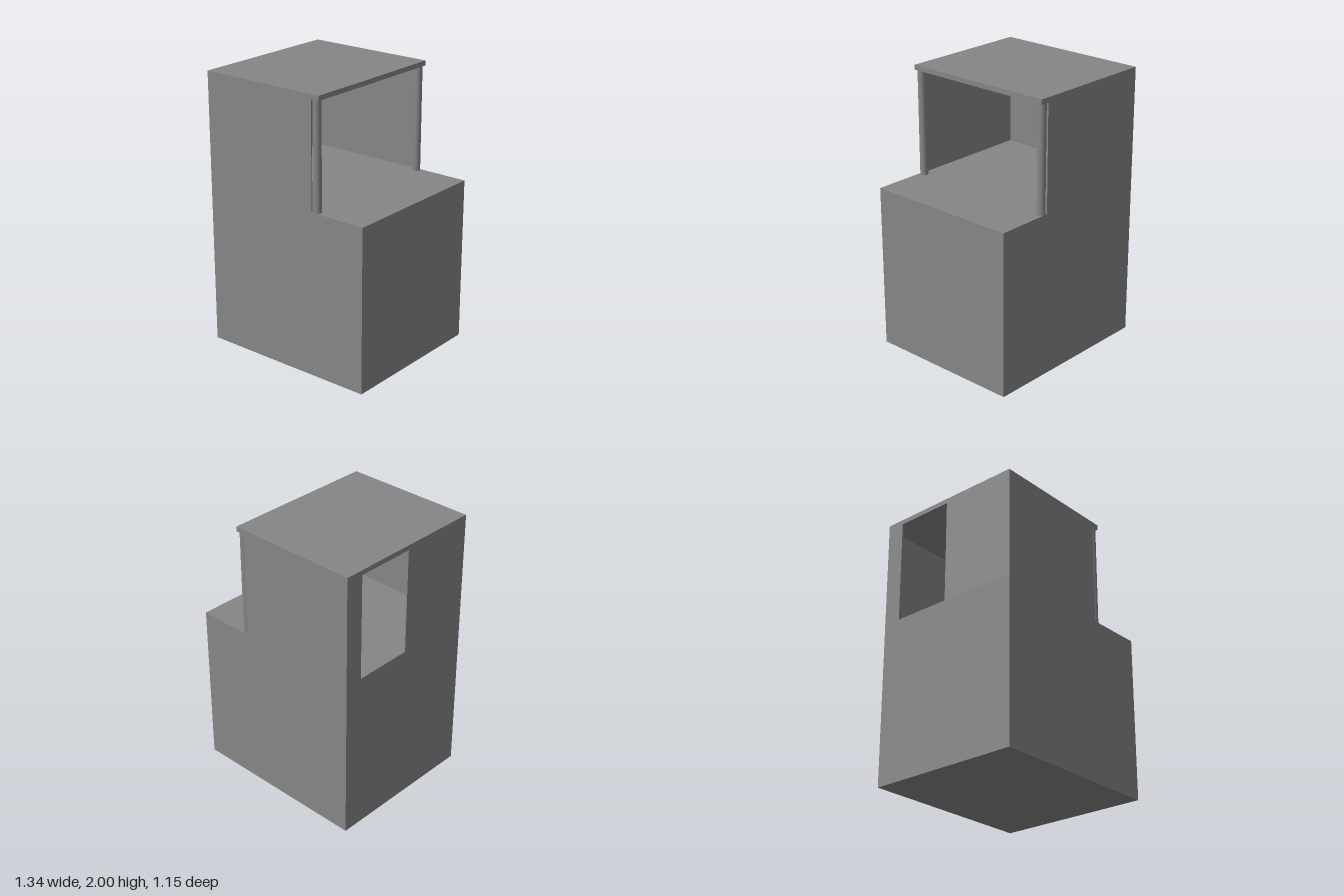
import * as THREE from 'three';

export function createModel() {
  const model = new THREE.Group();
  const material = new THREE.MeshStandardMaterial({ color: 0x868686 });

  const add = (name, geometry, x, y, z) => {
    const mesh = new THREE.Mesh(geometry, material);
    mesh.name = name;
    mesh.position.set(x, y, z);
    model.add(mesh);
  };
  // Box given by its lower and upper limits on each axis
  const box = (name, [x0, x1], [y0, y1], [z0, z1]) => add(name,
    new THREE.BoxGeometry(x1 - x0, y1 - y0, z1 - z0),
    (x0 + x1) / 2, (y0 + y1) / 2, (z0 + z1) / 2);

  const halfX = 0.668, halfZ = 0.575;
  const floorY = 1.198, ceilingY = 1.965, wall = 0.008;
  const storey = [floorY, ceilingY];

  // Solid lower block, whose top is the floor and the open terrace
  box('base', [-halfX, halfX], [0, floorY], [-halfZ, halfZ]);

  // Flat roof, overhanging the posts slightly
  box('roof', [-halfX, 0.31], [ceilingY, 2], [-halfZ, halfZ]);

  // Thin side walls, each ending at a round post
  for (const side of [-1, 1]) {
    const zs = [side * halfZ, side * (halfZ - wall)].sort((a, b) => a - b);
    box('sideWall', [-halfX, 0.245], storey, zs);
    add('post', new THREE.CylinderGeometry(0.029, 0.029, ceilingY - floorY, 32),
      0.271, (floorY + ceilingY) / 2, side * (halfZ - 0.029));
  }

  // End wall in two panels, leaving a full-height doorway between them
  const endX = [-halfX, -halfX + wall];
  box('endWallWide', endX, storey, [-0.003, halfZ - wall]);
  box('endWallNarrow', endX, storey, [-halfZ + wall, -0.44]);

  return model;
}
